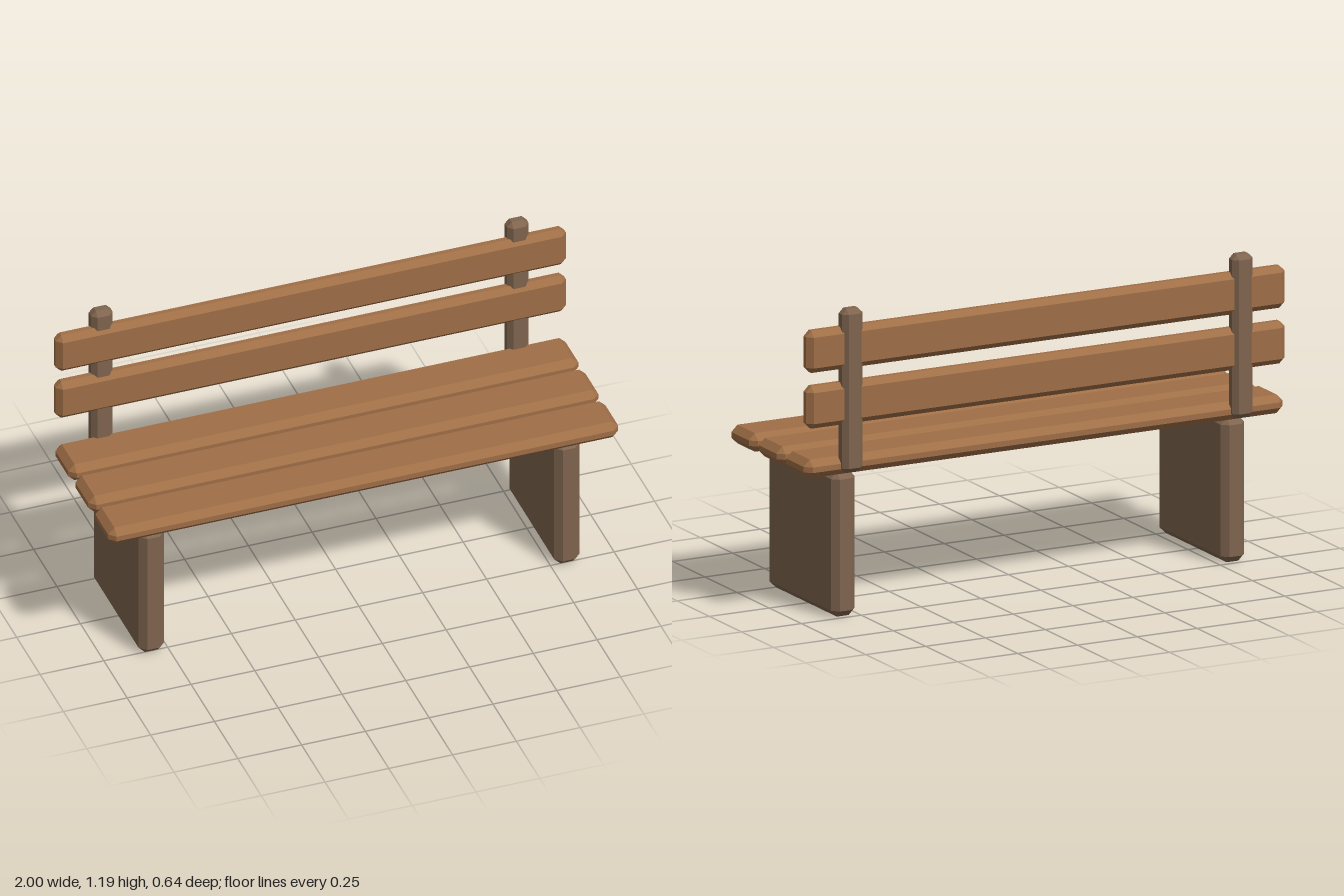
import * as THREE from 'three';
import { ConvexGeometry } from 'three/addons/geometries/ConvexGeometry.js';

const slatWood = new THREE.MeshStandardMaterial({ color: 0xa06f47, flatShading: true });
const frameWood = new THREE.MeshStandardMaterial({ color: 0x80654f, flatShading: true });

// Box with flat chamfers on all edges and corners
function chamferedBox(w, h, d, bevel) {
  const half = [w / 2, h / 2, d / 2];
  const points = [];
  for (const sx of [-1, 1]) for (const sy of [-1, 1]) for (const sz of [-1, 1])
    for (let axis = 0; axis < 3; axis++) {
      const [x, y, z] = half.map((v, i) => (i === axis ? v : v - bevel));
      points.push(new THREE.Vector3(sx * x, sy * y, sz * z));
    }
  return new ConvexGeometry(points);
}

// Chamfered board given by its centre x, width and its y and z ranges
function board(name, material, x, width, [y0, y1], [z0, z1], bevel) {
  const mesh = new THREE.Mesh(chamferedBox(width, y1 - y0, z1 - z0, bevel), material);
  mesh.position.set(x, (y0 + y1) / 2, (z0 + z1) / 2);
  mesh.name = name;
  return mesh;
}

export function createModel() {
  const bench = new THREE.Group();
  bench.name = 'bench';

  // Three seat slats
  ['frontSeatSlat', 'middleSeatSlat', 'rearSeatSlat'].forEach((name, i) => {
    const z = 0.226 - i * 0.213;
    bench.add(board(name, slatWood, 0, 2, [0.555, 0.626], [z - 0.093, z + 0.093], 0.025));
  });

  // Two backrest slats
  bench.add(board('lowerBackSlat', slatWood, 0, 2, [0.748, 0.91], [-0.307, -0.244], 0.022));
  bench.add(board('upperBackSlat', slatWood, 0, 2, [0.96, 1.121], [-0.307, -0.244], 0.022));

  // Panel leg and back post on each side
  for (const [side, s] of [['left', 1], ['right', -1]]) {
    bench.add(board(side + 'Leg', frameWood, s * 0.814, 0.099, [0, 0.552], [-0.25, 0.275], 0.025));
    bench.add(board(side + 'BackPost', frameWood, s * 0.815, 0.085, [0.565, 1.19], [-0.319, -0.256], 0.019));
  }
  return bench;
}
